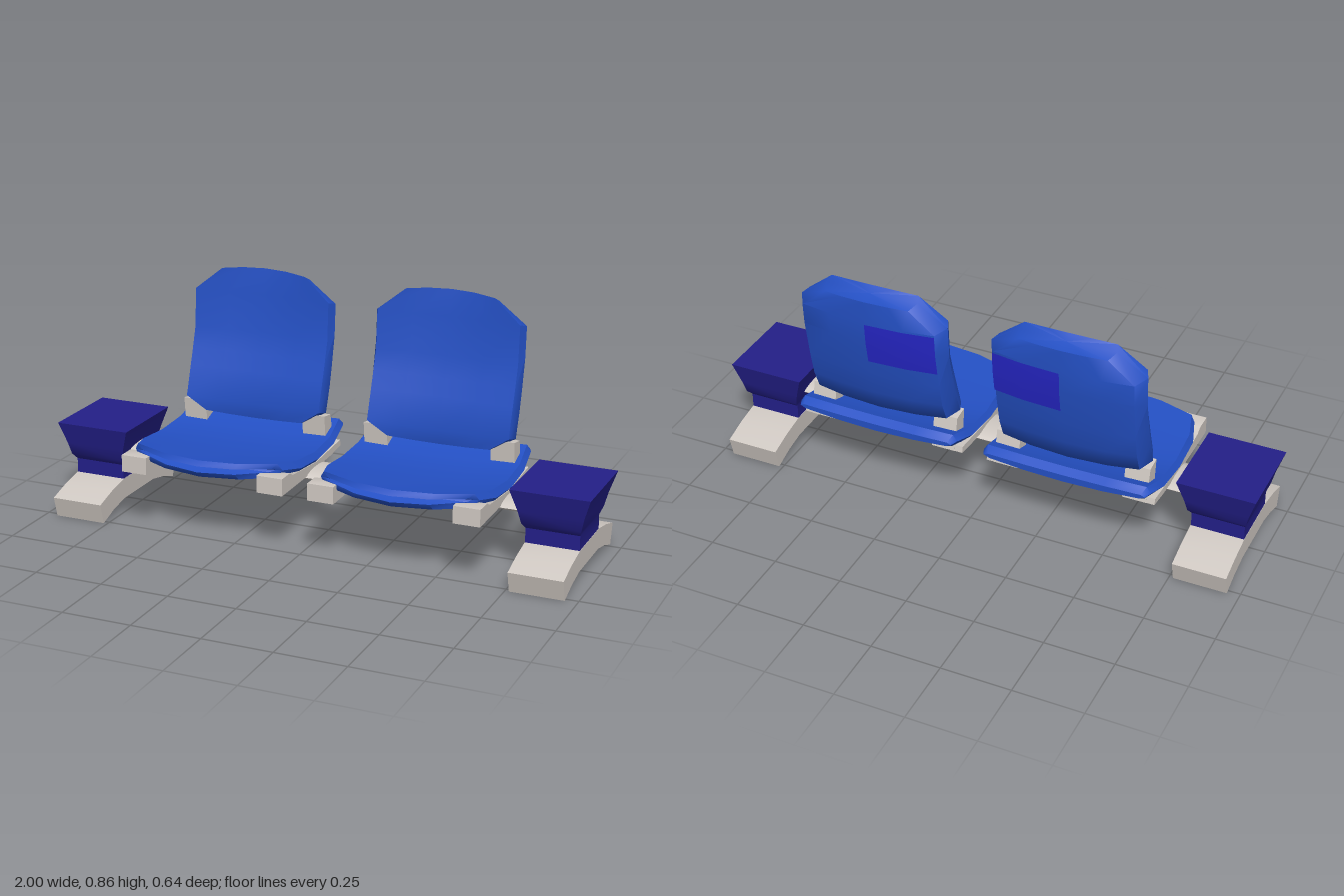
import * as THREE from 'three';
import { toCreasedNormals } from 'three/addons/utils/BufferGeometryUtils.js';

const mat = (name, color) => {
  const m = new THREE.MeshStandardMaterial({ color });
  m.name = name;
  return m;
};

// Skin a list of equal-length closed rings, cap both ends, keep faces outward
function loft(rings, crease = 0.9) {
  const n = rings[0].length, pos = rings.flat(2), idx = [];
  const tri = (a, b, c) => idx.push(a, b, c);
  for (let r = 0; r < rings.length - 1; r++) {
    for (let i = 0; i < n; i++) {
      const j = (i + 1) % n, a = r * n, b = a + n;
      tri(a + i, a + j, b + j);
      tri(a + i, b + j, b + i);
    }
  }
  [0, rings.length - 1].forEach((r) => {
    const c = pos.length / 3;
    for (let k = 0; k < 3; k++) pos.push(rings[r].reduce((s, p) => s + p[k], 0) / n);
    for (let i = 0; i < n; i++) {
      const a = r * n + i, b = r * n + (i + 1) % n;
      r ? tri(a, b, c) : tri(b, a, c);
    }
  });
  const P = (i) => new THREE.Vector3().fromArray(pos, i * 3);
  let volume = 0;
  for (let i = 0; i < idx.length; i += 3) volume += P(idx[i]).dot(P(idx[i + 1]).cross(P(idx[i + 2])));
  if (volume < 0) idx.reverse();
  const g = new THREE.BufferGeometry();
  g.setAttribute('position', new THREE.Float32BufferAttribute(pos, 3));
  g.setIndex(idx);
  return toCreasedNormals(g, crease);
}

// Extrude a side profile of [z, y] points across x, from x0 to x1
function sideExtrude(points, x0, x1) {
  const rings = [x0, x1].map((x) => points.map(([z, y]) => [x, y, z]));
  const shape = new THREE.Shape(points.map(([z, y]) => new THREE.Vector2(-z, y)));
  const g = new THREE.ExtrudeGeometry(shape, { depth: rings[1][0][0] - x0, bevelEnabled: false });
  g.rotateY(Math.PI / 2);
  g.translate(x0, 0, 0);
  return toCreasedNormals(g, 0.6);
}

// Backrest rows: front z, y; back z, y; half width; crown in the middle
const backRows = [
  [-0.13, 0.337, -0.19, 0.34, 0.2, -0.012],
  [-0.12, 0.387, -0.235, 0.37, 0.277, -0.008],
  [-0.155, 0.49, -0.265, 0.44, 0.277, 0],
  [-0.175, 0.55, -0.285, 0.53, 0.277, 0],
  [-0.2, 0.63, -0.31, 0.67, 0.277, 0],
  [-0.21, 0.77, -0.316, 0.75, 0.277, 0],
  [-0.228, 0.85, -0.316, 0.82, 0.172, 0.012],
];

// u runs across the backrest, k from its front (0) to its back (1)
function backPoint([fz, fy, bz, by, w, crown], u, k) {
  const z = fz + (bz - fz) * k - (1 - k) * 0.02 * (1 - u * u) + k * 0.03 * u * u;
  return [u * w, fy + (by - fy) * k + crown * (1 - u * u), z];
}

const backSection = [
  [-0.95, 0], [-0.5, 0], [0, 0], [0.5, 0], [0.95, 0], [1, 0.45],
  [0.9, 1], [0.5, 1], [0, 1], [-0.5, 1], [-0.9, 1], [-1, 0.45],
];

// Cushion rows: middle z, half width, top y, bottom y, setback of the corners
const seatRows = [
  [0.315, 0.265, 0.298, 0.27, 0.075],
  [0.3, 0.285, 0.315, 0.25, 0.068],
  [0.17, 0.315, 0.301, 0.228, 0.03],
  [0, 0.32, 0.287, 0.224, 0],
  [-0.14, 0.316, 0.297, 0.235, 0],
  [-0.245, 0.306, 0.333, 0.268, 0],
  [-0.272, 0.295, 0.315, 0.283, 0],
];

const seatSection = [
  [-0.95, 1], [-0.5, 1], [0, 1], [0.5, 1], [0.95, 1], [1, 0.5],
  [0.93, 0], [0.5, 0], [0, 0], [-0.5, 0], [-0.93, 0], [-1, 0.5],
];

function seatPoint([z, w, top, bottom, setback], u, k) {
  const lift = (1 - k) * 0.018 * u * u - k * 0.006 * (1 - u * u);
  return [u * w, bottom + (top - bottom) * k + lift, z - setback * u * u];
}

// Thin panel following the rear of the backrest, on the side given by s
function patchGeometry(s) {
  const mix = (a, b, t) => a.map((v, i) => v + (b[i] - v) * t);
  const rows = [mix(backRows[3], backRows[4], 0.42), backRows[4], mix(backRows[4], backRows[5], 0.95)];
  const g = new THREE.PlaneGeometry(1, 1, 2, 2);
  const us = [0, 0.5, 0.9];
  rows.forEach((row, r) => us.forEach((u, c) => {
    const [x, y, z] = backPoint(row, u * s, 1);
    g.attributes.position.setXYZ(r * 3 + c, x + s * 0.002, y, z - 0.005);
  }));
  // Keep the panel facing backward on either side
  if (s < 0) g.index.array.reverse();
  g.computeVertexNormals();
  return g;
}

export function createModel() {
  const blue = mat('seat blue', 0x2450c4);
  const navy = mat('dark indigo', 0x231f88);
  const grey = mat('warm grey', 0xd0c9c3);
  const violet = mat('panel violet blue', 0x2626c8);
  violet.side = THREE.DoubleSide;

  const model = new THREE.Group();
  model.name = 'twoSeatBench';
  const add = (parent, name, geometry, material) => {
    const m = new THREE.Mesh(geometry, material);
    m.name = name;
    parent.add(m);
    return m;
  };

  // Cross beam
  const beam = new THREE.CylinderGeometry(1, 1, 1.56, 14);
  beam.rotateZ(Math.PI / 2);
  beam.scale(1, 0.019, 0.083);
  beam.translate(0, 0.218, 0.003);
  add(model, 'crossBeam', toCreasedNormals(beam, 0.9), grey);

  // Shared side profiles as [z, y]
  const footProfile = [
    [0.285, 0.075], [0.2, 0.1], [0.11, 0.117], [-0.11, 0.117], [-0.2, 0.1], [-0.285, 0.075],
    [-0.265, 0], [-0.19, 0.026], [-0.11, 0.042], [0.11, 0.042], [0.19, 0.026], [0.265, 0],
  ];
  const railProfile = [
    [0.29, 0.22], [0.29, 0.282], [0.225, 0.282], [0.2, 0.268], [0, 0.25],
    [-0.21, 0.265], [-0.215, 0.243], [-0.13, 0.233], [0.1, 0.222],
  ];
  const hingeProfile = [[-0.135, 0.372], [-0.19, 0.364], [-0.216, 0.243], [-0.15, 0.237]];

  for (const s of [1, -1]) {
    const side = s > 0 ? 'left' : 'right';

    // End stand: arched foot and flared pedestal
    const stand = new THREE.Group();
    stand.name = side + 'Stand';
    stand.position.x = s * 0.86;
    add(stand, 'archedFoot', sideExtrude(footProfile, -0.096, 0.096), grey);
    const levels = [[0.117, 0.095, 0.11], [0.17, 0.095, 0.11], [0.193, 0.104, 0.132], [0.24, 0.115, 0.143], [0.316, 0.14, 0.161]];
    add(stand, 'pedestal', loft(levels.map(([y, x, z]) => [[-x, y, -z], [x, y, -z], [x, y, z], [-x, y, z]]), 0.7), navy);
    model.add(stand);

    // Seat: cushion, backrest, rear panel, rails and hinges
    const seat = new THREE.Group();
    seat.name = side + 'Seat';
    seat.position.x = s * 0.357;
    add(seat, 'cushion', loft(seatRows.map((r) => seatSection.map(([u, k]) => seatPoint(r, u, k)))), blue);
    add(seat, 'backrest', loft(backRows.map((r) => backSection.map(([u, k]) => backPoint(r, u, k)))), blue);
    add(seat, 'rearPanel', patchGeometry(-s), violet);
    for (const e of [1, -1]) {
      add(seat, 'seatRail', sideExtrude(railProfile, e * 0.262 - 0.048, e * 0.262 + 0.048), grey);
      add(seat, 'backHinge', sideExtrude(hingeProfile, e * 0.237 - 0.044, e * 0.237 + 0.044), grey);
    }
    model.add(seat);
  }
  return model;
}
